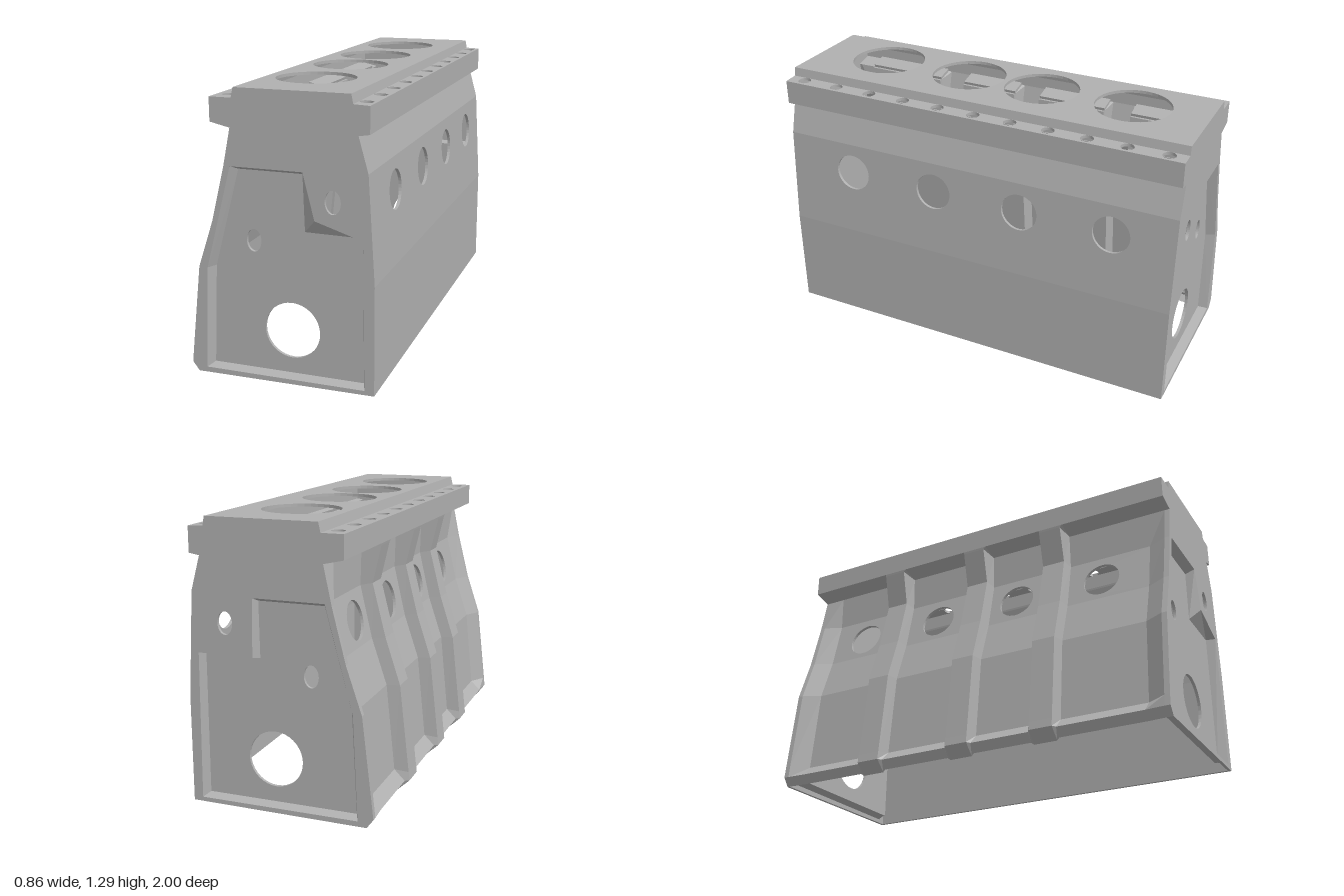
import * as THREE from 'three';

const grey = new THREE.MeshStandardMaterial({ color: 0xb0b0b0, side: THREE.DoubleSide });
grey.name = 'cast grey';

const LEN = 0.998;
const T = 0.014; // wall thickness
const portZ = [0.65, 0.2, -0.25, -0.7];
const boltZ = Array.from({ length: 11 }, (_, i) => -0.92 + i * 0.184);
const boreZ = [-0.645, -0.196, 0.186, 0.637];
const ribZ = [0.415, -0.01, -0.49];

// Cross-section (x, y): right wall, right flange, deck, left flange
const section = [
  [0.43, 0.015], [0.43, 0.5], [0.402, 0.97], [0.36, 1.122], [0.408, 1.13], [0.408, 1.245],
  [0.338, 1.248], [0.33, 1.289], [-0.18, 1.289], [-0.19, 1.245], [-0.29, 1.245], [-0.29, 1.14],
];
// Left wall profiles, top to bottom: at the ends, on a rib, in a recessed bay
const endP = [[-0.29, 1.14], [-0.2, 1.12], [-0.235, 0.95], [-0.295, 0.71], [-0.365, 0.5], [-0.41, 0.1], [-0.415, 0.05], [-0.385, 0.01]];
const ribP = [[-0.29, 1.14], [-0.288, 1.13], [-0.248, 0.96], [-0.31, 0.715], [-0.38, 0.5], [-0.425, 0.09], [-0.43, 0.05], [-0.375, 0.0]];
const bayP = [[-0.29, 1.14], [-0.2, 1.12], [-0.195, 0.95], [-0.25, 0.71], [-0.32, 0.5], [-0.36, 0.1], [-0.41, 0.05], [-0.38, 0.01]];

function add(parent, name, geo) {
  const mesh = new THREE.Mesh(geo, grey);
  mesh.name = name;
  parent.add(mesh);
  return mesh;
}

const toShape = (pts) => new THREE.Shape(pts.map(([x, y]) => new THREE.Vector2(x, y)));

function ellipse(x, y, rx, ry = rx) {
  const p = new THREE.Path();
  p.absellipse(x, y, rx, ry, 0, Math.PI * 2, true);
  return p;
}

// Flat plate running along z between section points a and b, with round holes
function plate(a, b, z0, z1, holes = [], r = 0, f = 0.5) {
  const dx = b[0] - a[0], dy = b[1] - a[1], len = Math.hypot(dx, dy);
  const s = toShape([[z0, 0], [z1, 0], [z1, len], [z0, len]]);
  holes.filter((z) => z > z0 && z < z1).forEach((z) => s.holes.push(ellipse(z, f * len, r)));
  const g = new THREE.ExtrudeGeometry(s, { depth: T, bevelEnabled: false, curveSegments: 18 });
  const m = new THREE.Matrix4().makeBasis(
    new THREE.Vector3(0, 0, 1),
    new THREE.Vector3(dx / len, dy / len, 0),
    new THREE.Vector3(-dy / len, dx / len, 0),
  ).setPosition(a[0], a[1], 0);
  return g.applyMatrix4(m);
}

// Flat-shaded surface between two equal chains of points at different z
function bridge(p, zp, q, zq, closed = false) {
  const pos = [];
  const n = p.length;
  for (let i = 0; i < (closed ? n : n - 1); i++) {
    const j = (i + 1) % n;
    const a = [...p[i], zp], b = [...p[j], zp], c = [...q[j], zq], d = [...q[i], zq];
    pos.push(...a, ...b, ...c, ...a, ...c, ...d);
  }
  const g = new THREE.BufferGeometry();
  g.setAttribute('position', new THREE.Float32BufferAttribute(pos, 3));
  g.computeVertexNormals();
  return g;
}

// End wall: rim with a stepped recess, then the recess floor
function endWall(side, rim, floor) {
  const g = new THREE.Group();
  g.name = side > 0 ? 'frontWall' : 'backWall';
  const rimShape = toShape([...section, ...endP.slice(1)]);
  rimShape.holes.push(toShape(rim), ellipse(0.25, 0.84, 0.035, 0.051));
  const floorShape = toShape(floor);
  floorShape.holes.push(ellipse(0.047, 0.242, 0.126), ellipse(-0.123, 0.63, 0.034, 0.05));
  const opts = { depth: T, bevelEnabled: false, curveSegments: 18 };
  const depth = 0.955;
  const rimMesh = add(g, 'endRim', new THREE.ExtrudeGeometry(rimShape, opts));
  rimMesh.position.z = side > 0 ? 1 - T : -1;
  const floorMesh = add(g, 'recessFloor', new THREE.ExtrudeGeometry(floorShape, opts));
  floorMesh.position.z = side > 0 ? depth - T : -depth;
  add(g, 'recessEdge', bridge(rim, side, floor, side * depth, true));
  return g;
}

export function createModel() {
  const model = new THREE.Group();
  model.name = 'engineBlock';

  // Right wall, flanges and deck
  const names = ['lowerRightWall', 'portedRightWall', 'upperRightWall', 'rightFlangeUnderside', 'rightFlangeSide',
    'rightBoltLedge', 'deckRightEdge', 'deck', 'deckLeftEdge', 'leftBoltLedge', 'leftFlangeSide'];
  const cuts = {
    portedRightWall: [portZ, 0.09, 0.69],
    rightBoltLedge: [boltZ, 0.03, 0.57],
    deck: [boreZ, 0.178, 0.56],
    leftBoltLedge: [boltZ, 0.03, 0.45],
  };
  names.forEach((name, i) => add(model, name, plate(section[i], section[i + 1], -LEN, LEN, ...(cuts[name] || []))));

  // Left wall: stations along z alternate between ends, bays and hollow ribs
  const stations = [[LEN, endP], [0.975, endP], [0.89, bayP]];
  ribZ.forEach((z) => stations.push([z + 0.068, bayP], [z + 0.056, ribP], [z - 0.056, ribP], [z - 0.068, bayP]));
  stations.push([-0.89, bayP], [-0.975, endP], [-LEN, endP]);
  const leftWall = new THREE.Group();
  leftWall.name = 'leftWall';
  model.add(leftWall);
  for (let i = 0; i < stations.length - 1; i++) {
    const [z1, p] = stations[i], [z0, q] = stations[i + 1];
    if (p === bayP && q === bayP) {
      for (let k = 0; k < bayP.length - 1; k++) {
        const ports = k === 2 ? portZ : [];
        add(leftWall, 'bayPanel', plate(bayP[k], bayP[k + 1], z0, z1, ports, 0.09, 0.53));
      }
    } else {
      add(leftWall, p === ribP || q === ribP ? 'rib' : 'endFlare', bridge(p, z1, q, z0));
    }
  }

  // End walls: the front step is a slanted wedge, the back step is square
  const rim = [[-0.205, 0.957], [0.12, 0.957], [0.17, 0.755], [0.38, 0.69], [0.387, 0.034], [-0.345, 0.034], [-0.325, 0.5]];
  const floor = [[-0.187, 0.938], [0.113, 0.938], [0.11, 0.69], [0.368, 0.688], [0.37, 0.046], [-0.325, 0.046], [-0.304, 0.5]];
  const backRim = rim.map((p, i) => (i === 2 ? [0.125, 0.7] : i === 3 ? [0.38, 0.7] : p));
  model.add(endWall(1, rim, floor), endWall(-1, backRim, floor));

  return model;
}
